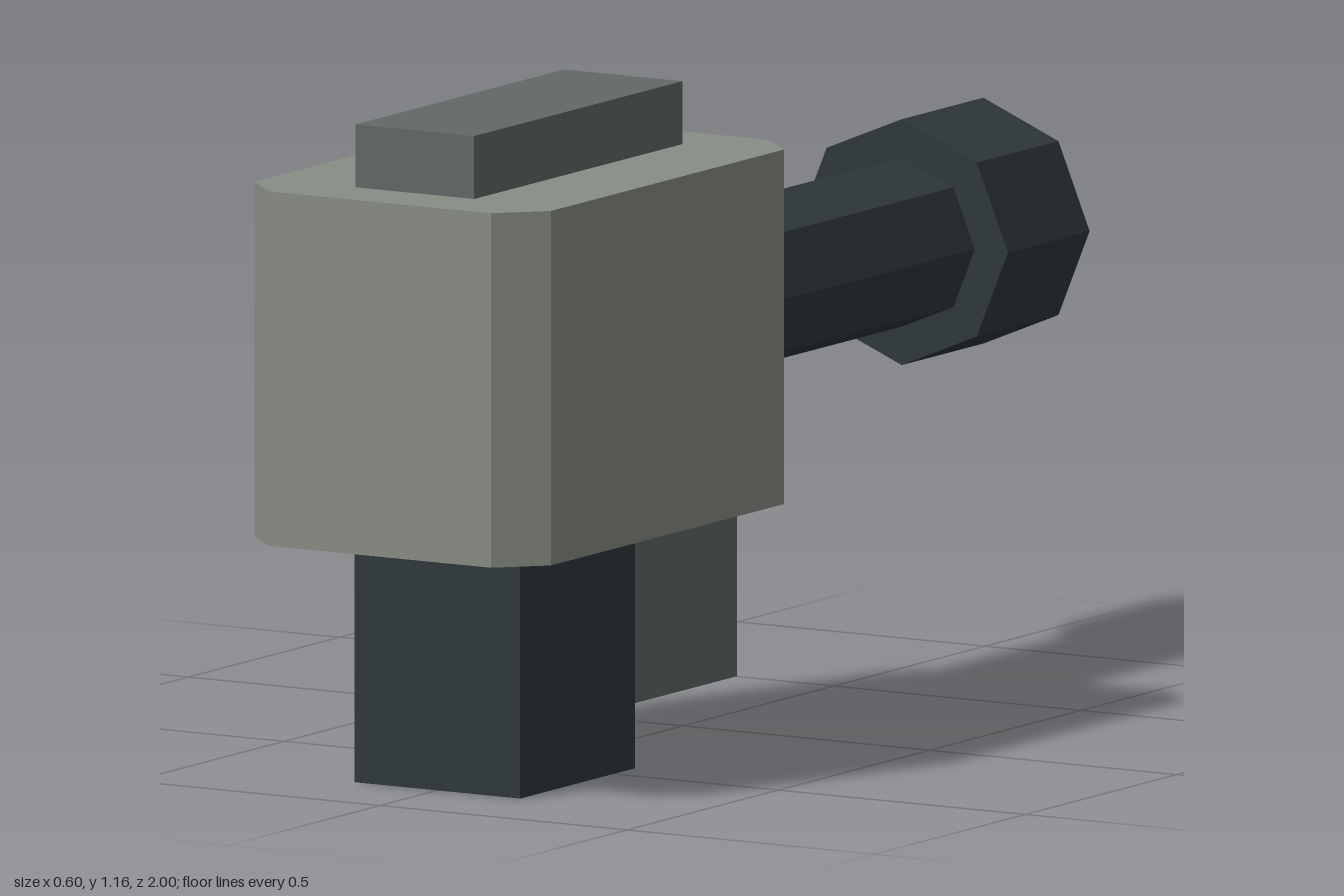
import * as THREE from 'three';

export function createModel() {
  const model = new THREE.Group();
  const paint = (color) => new THREE.MeshStandardMaterial({ color, flatShading: true });
  const casing = paint(0x888d84);
  const trim = paint(0x616866);
  const dark = paint(0x2f383c);
  const black = paint(0x141819);

  const add = (name, geometry, material) => {
    const mesh = new THREE.Mesh(geometry, material);
    mesh.name = name;
    model.add(mesh);
  };

  // Box centred on x, given by its width and its y and z limits
  const block = (name, width, [y0, y1], [z0, z1], material) => {
    const g = new THREE.BoxGeometry(width, y1 - y0, z1 - z0);
    add(name, g.translate(0, (y0 + y1) / 2, (z0 + z1) / 2), material);
  };

  // Eight-sided tube along z, corners pointing up and sideways
  const axisY = 0.745;
  const octagon = (name, radius, [z0, z1], material) => {
    const g = new THREE.CylinderGeometry(radius, radius, z1 - z0, 8);
    add(name, g.rotateX(Math.PI / 2).translate(0, axisY, (z0 + z1) / 2), material);
  };

  // Main body: rectangle with cut corners, extruded upwards
  const w = 0.3, l = 0.46, c = 0.075;
  const outline = new THREE.Shape([
    [w, c - l], [w, l - c], [w - c, l], [c - w, l],
    [-w, l - c], [-w, c - l], [c - w, -l], [w - c, -l],
  ].map(([x, y]) => new THREE.Vector2(x, y)));
  const body = new THREE.ExtrudeGeometry(outline, { depth: 0.62, bevelEnabled: false });
  add('body', body.rotateX(-Math.PI / 2).translate(0, 0.435, 0.54), casing);

  // Rail on top, lower block and handle below
  block('topRail', 0.24, [1.04, 1.165], [0.195, 0.885], trim);
  block('lowerBlock', 0.335, [0, 0.45], [0.43, 0.81], dark);
  block('handle', 0.245, [0.1, 0.53], [0.02, 0.36], trim);

  // Barrel, its wider end and the dark square opening
  octagon('barrel', 0.148, [-0.74, 0.1], dark);
  octagon('barrelEnd', 0.215, [-0.995, -0.725], dark);
  block('barrelOpening', 0.25, [axisY - 0.13, axisY + 0.13], [-1, -0.98], black);

  return model;
}
